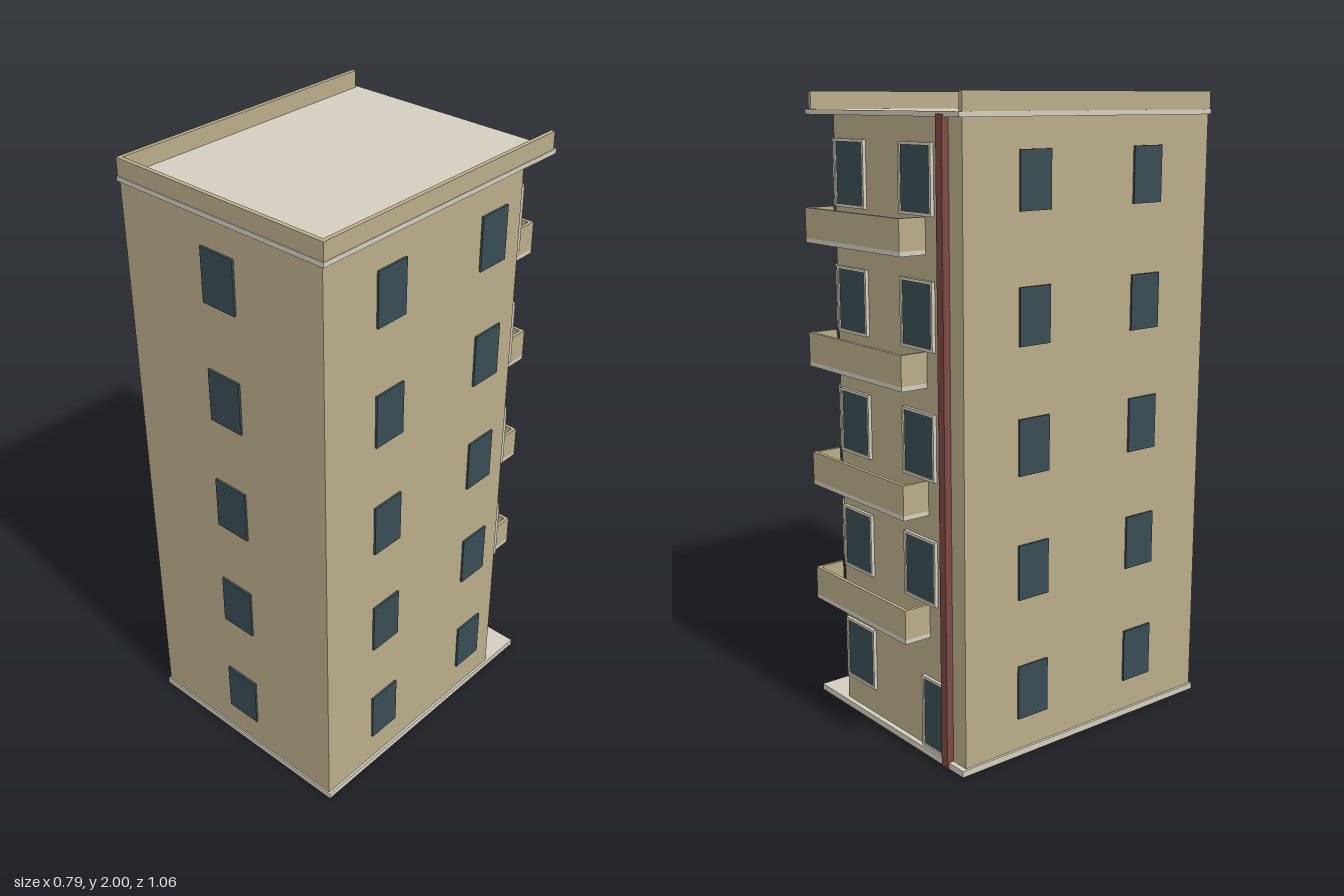
import * as THREE from 'three';

const mat = (name, color) => {
  const m = new THREE.MeshStandardMaterial({ color });
  m.name = name;
  return m;
};

export function createModel() {
  const wall = mat('sand wall', 0xbaac8a);
  const trim = mat('pale stone', 0xd3cdbd);
  const glass = mat('dark glass', 0x384c53);
  const pipe = mat('rust pipe', 0x7d4a43);

  const model = new THREE.Group();
  model.name = 'apartmentBlock';
  const FLOOR = 0.387;

  const add = (parent, name, geometry, material) => {
    const mesh = new THREE.Mesh(geometry, material);
    mesh.name = name;
    parent.add(mesh);
    return mesh;
  };

  // Box given by its lower and upper corners
  const box = (parent, name, material, [x0, y0, z0], [x1, y1, z1]) => {
    const mesh = add(parent, name, new THREE.BoxGeometry(x1 - x0, y1 - y0, z1 - z0), material);
    mesh.position.set((x0 + x1) / 2, (y0 + y1) / 2, (z0 + z1) / 2);
    return mesh;
  };

  // Flat pane on a wall, with an optional raised frame; angle turns it from +z
  const opening = (name, w, h, x, y, z, angle, frame = 0) => {
    const group = new THREE.Group();
    group.name = name;
    group.position.set(x, y, z);
    group.rotation.y = angle;
    const pane = add(group, 'pane', new THREE.BoxGeometry(w - frame, h - frame, 0.007), glass);
    pane.position.z = 0.0035;
    if (frame) {
      const rect = (path, a, b) => path.moveTo(-a, -b).lineTo(a, -b).lineTo(a, b).lineTo(-a, b).closePath();
      const outline = rect(new THREE.Shape(), w / 2, h / 2);
      outline.holes.push(rect(new THREE.Path(), w / 2 - frame, h / 2 - frame));
      add(group, 'frame', new THREE.ExtrudeGeometry(outline, { depth: 0.011, bevelEnabled: false }), trim);
    }
    model.add(group);
  };

  // Tower with one cut back corner (shape y is -z)
  const plan = new THREE.Shape();
  plan.moveTo(-0.387, -0.525).lineTo(0.387, -0.525).lineTo(0.387, 0.31)
    .lineTo(0.257, 0.44).lineTo(-0.387, 0.44).closePath();
  const tower = add(model, 'tower',
    new THREE.ExtrudeGeometry(plan, { depth: 1.915, bevelEnabled: false }).rotateX(-Math.PI / 2), wall);
  tower.position.y = 0.018;

  // Base and roof slabs
  box(model, 'baseSlab', trim, [-0.395, 0, -0.457], [0.395, 0.02, 0.53]);
  box(model, 'roofSlab', trim, [-0.395, 1.93, -0.457], [0.395, 1.945, 0.53]);

  // Parapet on three sides, open at the back
  for (const s of [-1, 1]) {
    const side = box(model, 'parapetSide', wall, [0.379, 1.944, -0.445], [0.393, 2, 0.527]);
    side.position.x *= s;
  }
  box(model, 'parapetFront', wall, [-0.379, 1.944, 0.513], [0.379, 2, 0.527]);

  for (let i = 0; i < 5; i++) {
    const y = 0.207 + i * FLOOR;

    // Plain windows on the front and both sides
    opening('frontWindow', 0.125, 0.172, 0, y, 0.525, 0);
    for (const s of [-1, 1])
      for (const z of [0.262, -0.182])
        opening('sideWindow', 0.115, 0.172, s * 0.387, y, z, s * Math.PI / 2);

    // Framed back windows, with the entrance on the ground floor
    opening('backWindow', 0.16, 0.205, 0.164, y + 0.003, -0.44, Math.PI, 0.009);
    if (i === 0) {
      opening('entranceDoor', 0.12, 0.235, -0.24, 0.1375, -0.44, Math.PI, 0.009);
      continue;
    }
    opening('backWindow', 0.16, 0.205, -0.175, y + 0.003, -0.44, Math.PI, 0.009);
    opening('cornerWindow', 0.135, 0.205, 0.322, y + 0.003, -0.375, Math.PI * 0.75, 0.009);

    // Balcony: floor slab and a solid railing on three sides
    const b = 0.385 + (i - 1) * FLOOR;
    const balcony = new THREE.Group();
    balcony.name = 'balcony';
    box(balcony, 'balconyFloor', trim, [-0.213, b, -0.531], [0.288, b + 0.014, -0.435]);
    box(balcony, 'balconyFront', wall, [-0.213, b + 0.014, -0.531], [0.288, b + 0.107, -0.519]);
    for (const x of [-0.213, 0.277])
      box(balcony, 'balconyEnd', wall, [x, b + 0.014, -0.519], [x + 0.011, b + 0.107, -0.435]);
    model.add(balcony);
  }

  // Rainwater pipe down the back wall
  box(model, 'drainPipe', pipe, [-0.325, 0.002, -0.463], [-0.296, 1.938, -0.438]);

  return model;
}
